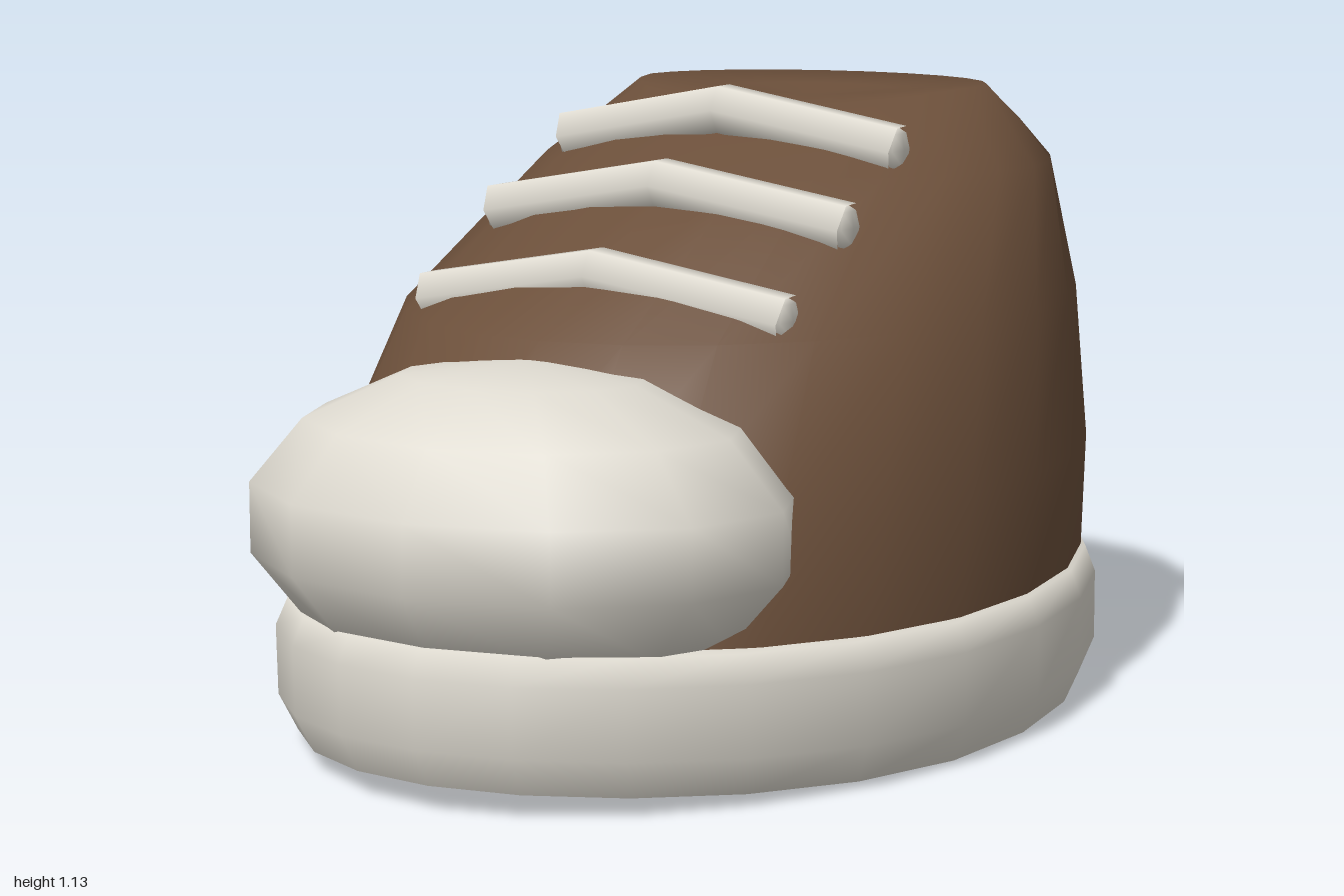
import * as THREE from 'three';

const SEGMENTS = 24;

// Skin through oval rings, listed bottom to top: { y, rx, back, front }.
// bend(x, y, z, c) may adjust the height; c runs from -1 (heel) to 1 (toe).
function loft(rings, taper, bend) {
  const positions = [], index = [];
  rings.forEach(({ y, rx, back, front }, i) => {
    for (let j = 0; j < SEGMENTS; j++) {
      const a = (j / SEGMENTS) * Math.PI * 2;
      const c = Math.cos(a);
      const z = (back + front) / 2 + ((front - back) / 2) * c;
      const x = rx * Math.sin(a) * (1 - taper * Math.max(0, c) ** 2);
      positions.push(x, bend(x, y, z, c), z);
      if (i === rings.length - 1) continue;
      const p = i * SEGMENTS + j, q = i * SEGMENTS + (j + 1) % SEGMENTS;
      index.push(p, q, q + SEGMENTS, p, q + SEGMENTS, p + SEGMENTS);
    }
  });
  const geometry = new THREE.BufferGeometry();
  geometry.setAttribute('position', new THREE.Float32BufferAttribute(positions, 3));
  geometry.setIndex(index);
  geometry.computeVertexNormals();
  return geometry;
}

const ring = (y, rx, back, front) => ({ y, rx, back, front });

export function createModel() {
  const group = new THREE.Group();
  const brown = new THREE.MeshStandardMaterial({ color: 0x6b4f3a });
  brown.name = 'brown leather';
  const cream = new THREE.MeshStandardMaterial({ color: 0xdedad0 });
  cream.name = 'cream rubber';

  const add = (name, geometry, material) => {
    const mesh = new THREE.Mesh(geometry, material);
    mesh.name = name;
    group.add(mesh);
    return mesh;
  };

  // Sole with a gently lifted toe; the doubled ring keeps the bottom edge crisp
  const sole = loft([
    ring(0, 0, 0, 0),
    ring(0, 0.33, -0.48, 0.46),
    ring(0, 0.66, -0.97, 0.93),
    ring(0, 0.66, -0.97, 0.93),
    ring(0.07, 0.69, -1, 0.97),
    ring(0.2, 0.69, -1, 0.975),
    ring(0.25, 0.67, -0.98, 0.95),
    ring(0.25, 0.6, -0.9, 0.85),
    ring(0.25, 0, 0, 0),
  ], 0.07, (x, y, z) => y + (0.045 - 0.06 * y) * Math.max(0, z / 0.93) ** 2);
  add('sole', sole, cream);

  // Upper: tall rounded heel sloping down to the toe, with a shallow dip on top
  const upper = loft([
    ring(0.23, 0.655, -0.97, 0.89),
    ring(0.46, 0.65, -0.98, 0.8),
    ring(0.74, 0.6, -0.955, 0.56),
    ring(0.98, 0.5, -0.88, 0.06),
    ring(1.05, 0.43, -0.81, -0.1),
    ring(1.12, 0.355, -0.73, -0.22),
    ring(1.105, 0.18, -0.6, -0.32),
    ring(1.09, 0, -0.45, -0.45),
  ], 0.04, (x, y, z, c) => (y === 1.12 ? y - 0.035 * Math.max(0, c) ** 2 : y));
  add('upper', upper, brown);

  // Rounded toe cap
  const toeCap = add('toeCap', new THREE.SphereGeometry(1, 12, 7), cream);
  toeCap.scale.set(0.513, 0.28, 0.39);
  toeCap.position.set(0, 0.436, 0.62);

  // Three laces, each bent over the ridge of the upper
  const laces = [
    { y: 1.09, z: -0.11, half: 0.345 },
    { y: 0.972, z: 0.13, half: 0.36 },
    { y: 0.835, z: 0.365, half: 0.36 },
  ];
  laces.forEach(({ y, z, half }, i) => {
    const path = new THREE.CatmullRomCurve3([
      new THREE.Vector3(-half, y - 0.065, z - 0.03),
      new THREE.Vector3(0, y, z),
      new THREE.Vector3(half, y - 0.065, z - 0.03),
    ]);
    add('lace' + (i + 1), new THREE.TubeGeometry(path, 2, 0.05, 6), cream);
    // Closed ends
    for (const side of [-1, 1]) {
      const end = add('lace' + (i + 1) + 'End', new THREE.SphereGeometry(0.043, 6, 4), cream);
      end.scale.x = 0.3;
      end.position.set(side * half, y - 0.065, z - 0.03);
    }
  });

  return group;
}
